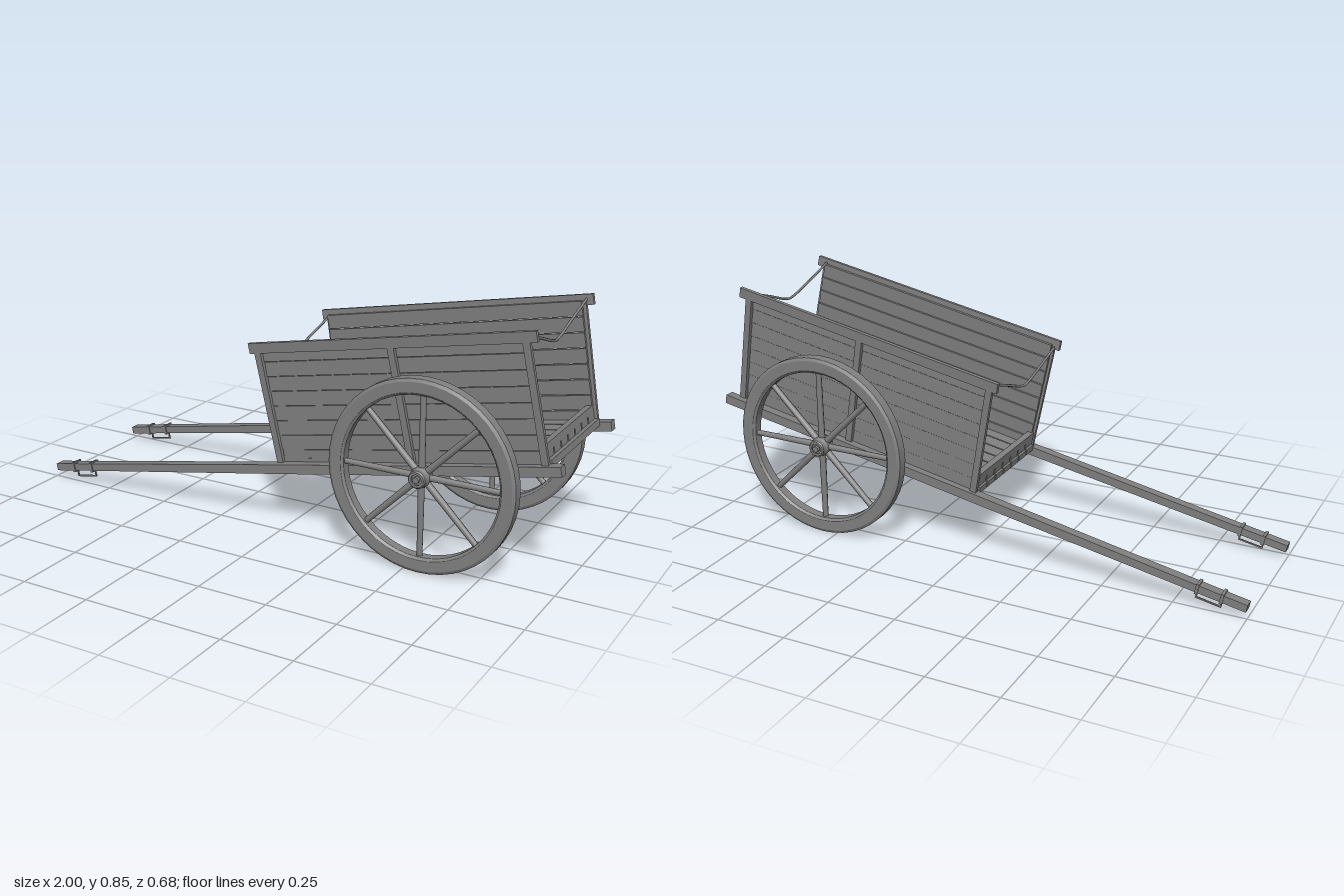
import * as THREE from 'three';

const mat = new THREE.MeshStandardMaterial({ color: 0x808080 });

function add(parent, name, geo, x = 0, y = 0, z = 0) {
  const m = new THREE.Mesh(geo, mat);
  m.name = name;
  m.position.set(x, y, z);
  parent.add(m);
  return m;
}
const box = (parent, name, w, h, d, x, y, z) =>
  add(parent, name, new THREE.BoxGeometry(w, h, d), x, y, z);

function group(parent, name) {
  const g = new THREE.Group();
  g.name = name;
  parent.add(g);
  return g;
}

// Lathe around the z axis from [radius, z] points, with crisp profile corners
function turned(parent, name, pts, segments) {
  const profile = [];
  for (let i = 0; i < pts.length - 1; i++) {
    const a = new THREE.Vector2(...pts[i]), b = new THREE.Vector2(...pts[i + 1]);
    profile.push(a, a.clone().lerp(b, 0.02), a.clone().lerp(b, 0.98));
  }
  profile.push(new THREE.Vector2(...pts[pts.length - 1]));
  const geo = new THREE.LatheGeometry(profile, segments).rotateX(Math.PI / 2);
  return add(parent, name, geo);
}

// Wheel facing +z: rim, spokes and hub
function makeWheel(parent, name) {
  const wheel = group(parent, name);
  turned(wheel, 'rim', [
    [0.274, -0.016], [0.282, -0.023], [0.318, -0.024], [0.328, -0.018], [0.328, 0.018],
    [0.318, 0.024], [0.282, 0.023], [0.274, 0.016], [0.274, -0.016],
  ], 48);
  for (let i = 0; i < 8; i++) {
    const a = (i * Math.PI) / 4;
    const spoke = add(wheel, 'spoke', new THREE.CylinderGeometry(0.01, 0.012, 0.26, 8),
      Math.cos(a) * 0.155, Math.sin(a) * 0.155, 0);
    spoke.rotation.z = a - Math.PI / 2;
  }
  turned(wheel, 'hub', [
    [0, -0.026], [0.026, -0.026], [0.034, -0.016], [0.034, 0.016], [0.03, 0.024],
    [0.03, 0.036], [0.026, 0.04], [0.018, 0.04], [0.018, 0.034], [0, 0.034],
  ], 20);
  const cap = add(wheel, 'axleEnd', new THREE.CylinderGeometry(0.011, 0.011, 0.09, 12));
  cap.rotation.x = Math.PI / 2;
  const axle = add(wheel, 'axleStub', new THREE.CylinderGeometry(0.015, 0.015, 0.05, 12), 0, 0, -0.045);
  axle.rotation.x = Math.PI / 2;
  return wheel;
}

// Leaning slatted side, outside towards s * z, both sides slightly askew
function makeSide(parent, name, s) {
  const side = group(parent, name);
  side.position.set(0, 0, s * 0.213 - 0.006);
  side.rotation.set(s * 0.055, -0.012, 0);
  for (let i = 0; i < 8; i++) {
    const slat = box(side, 'sideSlat', 0.975, 0.05, 0.011, 0.473, 0.034 + i * 0.0525, 0);
    slat.rotation.x = -s * 0.07;
  }
  for (const u of [-0.012, 0.497, 0.96])
    box(side, 'sidePost', 0.024, 0.41, 0.014, u, 0.215, s * 0.012);
  box(side, 'topRail', 1.04, 0.036, 0.014, 0.478, 0.428, s * 0.013);
}

// Long shaft with slimmer grip end
function makeShaft(parent, s) {
  const geo = new THREE.BoxGeometry(2.03, 0.033, 0.035, 8, 1, 1);
  const p = geo.attributes.position;
  for (let i = 0; i < p.count; i++) {
    const k = THREE.MathUtils.clamp(0.8 + 0.2 * (p.getX(i) + 1), 0.8, 1);
    p.setY(i, p.getY(i) * k);
  }
  geo.computeVertexNormals();
  add(parent, 'shaft', geo, 0, 0, s * 0.234);

  // Harness staple: two bands and a bent wire below
  const u0 = -0.93, u1 = -0.845;
  for (const u of [u0, u1]) {
    box(parent, 'shaftBand', 0.01, 0.037, 0.043, u, 0, s * 0.234);
    box(parent, 'stapleLeg', 0.005, 0.03, 0.005, u, -0.026, s * 0.234);
  }
  box(parent, 'stapleBar', u1 - u0 + 0.005, 0.005, 0.005, (u0 + u1) / 2, -0.039, s * 0.234);
}

// Slack rope between the two sides, hanging in straight lengths
function makeRope(parent, name, xa, xb, yEnd, yMid, half) {
  const drops = [[-1, 0], [-0.45, 0.57], [-0.17, 0.89], [0, 1], [0.17, 0.89], [0.62, 0.43], [1, 0]];
  const pts = drops.map(([t, d]) => new THREE.Vector3(
    THREE.MathUtils.lerp(xa, xb, (t + 1) / 2), yEnd + (yMid - yEnd) * d, t * half));
  const path = new THREE.CatmullRomCurve3(pts, false, 'catmullrom', 0.15);
  add(parent, name, new THREE.TubeGeometry(path, 36, 0.0045, 8));
}

export function createModel() {
  const cart = new THREE.Group();
  cart.name = 'handCart';

  // Body is built level, then tipped so the shafts reach the ground
  const body = group(cart, 'body');
  body.position.y = 0.225;
  body.rotation.z = Math.atan(0.19);

  // Floor planks
  for (let i = -3; i <= 3; i++)
    box(body, 'floorPlank', 0.99, 0.024, 0.057, 0.468, 0.017, i * 0.0625);

  // Cross sills at both ends, raised on blocks
  for (const u of [-0.008, 0.95]) {
    box(body, 'endSill', 0.022, 0.026, 0.43, u, 0.064, 0);
    for (let i = -3; i <= 3; i++)
      box(body, 'sillBlock', 0.022, 0.024, 0.055, u, 0.04, i * 0.0625);
  }
  box(body, 'rearCrossbar', 0.016, 0.024, 0.44, 0.968, 0.017, 0);

  for (const s of [1, -1]) {
    makeShaft(body, s);
    makeSide(body, s > 0 ? 'leftSide' : 'rightSide', s);
    const wheel = makeWheel(cart, s > 0 ? 'leftWheel' : 'rightWheel');
    wheel.position.set(0.553, 0.328, s * 0.296);
    if (s < 0) wheel.rotation.y = Math.PI;
  }

  makeRope(cart, 'frontRope', -0.087, -0.105, 0.633, 0.562, 0.222);
  makeRope(cart, 'rearRope', 0.877, 0.857, 0.828, 0.748, 0.238);
  return cart;
}
